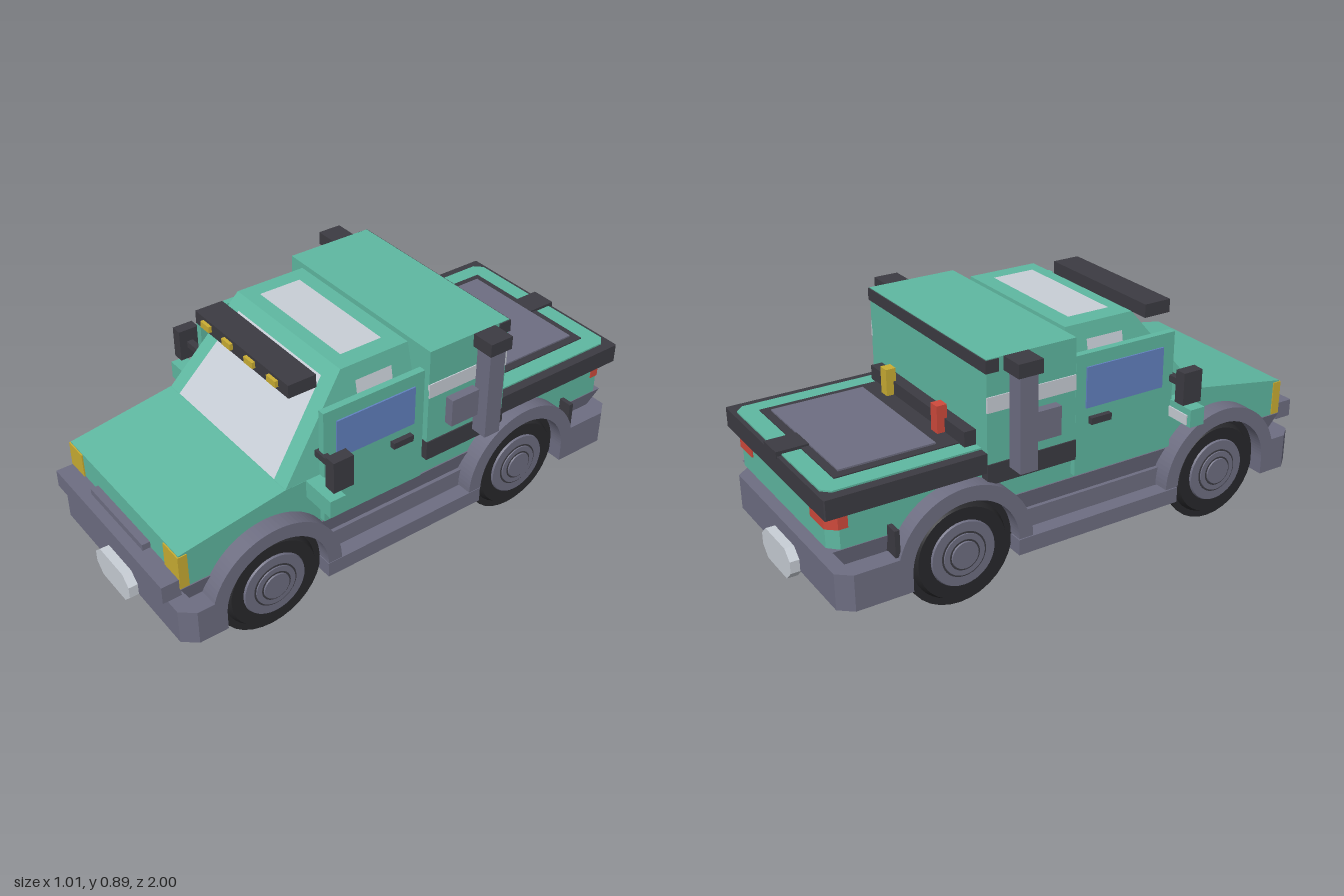
import * as THREE from 'three';
import { toCreasedNormals } from 'three/addons/utils/BufferGeometryUtils.js';

const mat = (name, color) => Object.assign(new THREE.MeshStandardMaterial({ color }), { name });

export function createModel() {
  const truck = new THREE.Group();
  truck.name = 'pickupTruck';
  const teal = mat('teal paint', 0x5fb8a1), slate = mat('slate plastic', 0x6e6e82);
  const dark = mat('dark trim', 0x3c3b42), rubber = mat('black rubber', 0x28282b);
  const pale = mat('pale glass', 0xc8ced6), yellow = mat('yellow lamp', 0xcaad33);
  const red = mat('red lamp', 0xcf4a3c), blue = mat('blue window', 0x6282c0);

  const add = (name, geometry, material) => {
    const mesh = new THREE.Mesh(geometry, material);
    mesh.name = name;
    truck.add(mesh);
    return mesh;
  };
  // box given by its limits on each axis
  const box = (name, m, x0, x1, y0, y1, z0, z1) => add(name,
    new THREE.BoxGeometry(Math.abs(x1 - x0), y1 - y0, Math.abs(z1 - z0))
      .translate((x0 + x1) / 2, (y0 + y1) / 2, (z0 + z1) / 2), m);
  const toShape = (pts) => new THREE.Shape(pts.map(([a, b]) => new THREE.Vector2(a, b)));
  const extrude = (shape, depth) => new THREE.ExtrudeGeometry(shape, { depth, bevelEnabled: false, curveSegments: 24 });
  // plan outline (x, z) raised from y0 to y1
  const slab = (name, m, pts, y0, y1) => add(name,
    extrude(toShape(pts.map(([x, z]) => [x, -z])), y1 - y0).rotateX(-Math.PI / 2).translate(0, y0, 0), m);
  // side outline (z, y) swept from x0 to x1
  const sweep = (name, m, shape, x0, x1) => add(name,
    extrude(shape, x1 - x0).rotateY(-Math.PI / 2).translate(x1, 0, 0), m);
  // tapered box: each end is [y, half width, back z, front z]
  const taper = (name, m, low, high) => {
    const g = new THREE.BoxGeometry(2, 2, 2), p = g.attributes.position;
    for (let i = 0; i < p.count; i++) {
      const [y, w, back, front] = p.getY(i) > 0 ? high : low;
      p.setXYZ(i, p.getX(i) * w, y, p.getZ(i) > 0 ? front : back);
    }
    g.computeVertexNormals();
    return add(name, g, m);
  };
  // flat four-cornered panel, corners counter-clockwise
  const panel = (name, m, c) => {
    const g = new THREE.BufferGeometry();
    g.setAttribute('position', new THREE.Float32BufferAttribute([0, 1, 2, 0, 2, 3].flatMap((i) => c[i]), 3));
    g.computeVertexNormals();
    return add(name, g, m);
  };

  // chassis, sills and bumpers
  box('underbody', slate, -0.375, 0.375, 0.14, 0.27, -0.82, 0.82);
  taper('lowerBodyBelt', slate, [0.2, 0.345, -0.86, 0.86], [0.34, 0.375, -0.955, 0.935]);
  box('sill', slate, -0.435, 0.435, 0.14, 0.2, -0.295, 0.395);
  for (const [name, z, d] of [['frontBumper', 0.805, 1], ['rearBumper', -0.705, -1]]) {
    const end = d * 0.965;
    slab(name, slate, [[-0.437, z], [-0.437, end - d * 0.05], [-0.395, end],
      [0.395, end], [0.437, end - d * 0.05], [0.437, z]], 0.14, 0.275);
    const plate = toShape([[-0.08, 0.102], [0.08, 0.102], [0.118, 0.14], [0.118, 0.185],
      [0.08, 0.22], [-0.08, 0.22], [-0.118, 0.185], [-0.118, 0.14]]);
    add(name + 'Plate', extrude(plate, 0.04).translate(0, 0, d > 0 ? 0.96 : -1), pale);
  }
  box('frontBar', slate, -0.37, 0.37, 0.312, 0.38, 0.93, 1);
  box('frontBarBump', slate, -0.18, 0.18, 0.38, 0.404, 0.93, 0.96);

  // wheels and arches
  const tyre = toCreasedNormals(new THREE.LatheGeometry([[0, -0.117], [0.17, -0.117], [0.2, -0.055],
    [0.2, 0.055], [0.17, 0.117], [0, 0.117]].map(([r, h]) => new THREE.Vector2(r, h)), 40), 0.5);
  for (const z of [0.6, -0.5]) {
    const arch = new THREE.Shape();
    arch.moveTo(z + 0.26, 0.205);
    arch.absarc(z, 0.205, 0.26, 0, Math.PI, false);
    arch.lineTo(z - 0.205, 0.205);
    arch.absarc(z, 0.205, 0.205, Math.PI, 0, true);
    for (const s of [1, -1]) {
      const wheel = new THREE.Group();
      wheel.name = 'wheel';
      wheel.position.set(s * 0.288, 0.203, z);
      wheel.rotation.z = -s * Math.PI / 2;
      const part = (name, g, m, y) => {
        const mesh = add(name, g, m);
        mesh.position.y = y;
        wheel.add(mesh);
      };
      part('tyre', tyre, rubber, 0);
      part('rim', new THREE.CylinderGeometry(0.12, 0.125, 0.01, 32), slate, 0.119);
      part('rimGroove', new THREE.CylinderGeometry(0.085, 0.085, 0.004, 32), dark, 0.124);
      part('rimRing', new THREE.CylinderGeometry(0.078, 0.08, 0.008, 32), slate, 0.126);
      part('hubGroove', new THREE.CylinderGeometry(0.058, 0.058, 0.004, 24), dark, 0.129);
      part('hubCap', new THREE.CylinderGeometry(0.05, 0.054, 0.01, 24), slate, 0.131);
      truck.add(wheel);
      const x = s > 0 ? [0.345, 0.437] : [-0.437, -0.345];
      sweep('wheelArch', slate, arch, ...x);
      add('wheelWell', new THREE.CylinderGeometry(0.21, 0.21, 0.01, 32)
        .rotateZ(Math.PI / 2).translate(s * 0.375, 0.205, z), rubber);
    }
  }

  // hood, cab and cargo box
  sweep('lowerBody', teal, toShape([[0.93, 0.34], [0.93, 0.478], [0.52, 0.545],
    [-0.4, 0.545], [-0.4, 0.34]]), -0.37, 0.37);
  taper('cab', teal, [0.54, 0.37, -0.05, 0.522], [0.88, 0.308, -0.03, 0.25]);
  box('cargoBox', teal, -0.405, 0.405, 0.5, 0.88, -0.4, -0.05);
  box('cargoBoxBase', dark, -0.41, 0.41, 0.43, 0.505, -0.402, -0.048);
  box('cargoBoxRearBar', dark, -0.41, 0.41, 0.832, 0.877, -0.405, -0.355);
  const glassZ = (y) => 0.524 - (y - 0.545) * 0.806;
  panel('windshield', pale, [[-0.305, 0.55, glassZ(0.55)], [0.305, 0.55, glassZ(0.55)],
    [0.25, 0.84, glassZ(0.84)], [-0.25, 0.84, glassZ(0.84)]]);
  panel('skylight', pale, [[-0.24, 0.883, 0.2], [0.24, 0.883, 0.2], [0.24, 0.883, 0.03], [-0.24, 0.883, 0.03]]);

  // light bar
  box('lightBar', dark, -0.285, 0.285, 0.83, 0.88, 0.33, 0.44);
  for (const x of [-0.205, -0.07, 0.067, 0.202])
    box('roofLamp', yellow, x - 0.026, x + 0.026, 0.845, 0.869, 0.43, 0.453);

  // mirrored side parts
  for (const s of [1, -1]) {
    const side = (name, m, x0, x1, ...rest) => box(name, m, s * x0, s * x1, ...rest);
    const wall = (y) => s * (0.374 - (y - 0.545) * 0.182);
    const quarter = [[0.2, 0.6], [0.05, 0.6], [0.05, 0.825], [0.2, 0.825]].map(([z, y]) => [wall(y), y, z]);
    panel('quarterWindow', pale, s > 0 ? quarter : quarter.reverse());
    side('headlight', yellow, 0.28, 0.374, 0.342, 0.474, 0.9, 0.935);
    side('door', teal, 0.365, 0.392, 0.355, 0.805, -0.04, 0.38);
    side('doorWindow', blue, 0.39, 0.398, 0.605, 0.757, 0.002, 0.33);
    side('doorHandle', dark, 0.39, 0.412, 0.545, 0.57, 0.015, 0.1);
    side('mirrorArm', dark, 0.355, 0.46, 0.618, 0.643, 0.365, 0.39);
    side('mirror', dark, 0.458, 0.503, 0.57, 0.692, 0.34, 0.42);
    side('sideStep', teal, 0.365, 0.507, 0.477, 0.545, 0.375, 0.437);
    side('sideStepLamp', pale, 0.39, 0.49, 0.482, 0.52, 0.37, 0.376);
    side('boxStripe', pale, 0.4, 0.409, 0.692, 0.748, -0.4, -0.05);
    side('airFilter', slate, 0.4, 0.44, 0.558, 0.666, -0.25, -0.13);
    side('exhaustStack', slate, 0.415, 0.482, 0.48, 0.835, -0.32, -0.252);
    side('exhaustCap', dark, 0.405, 0.495, 0.83, 0.88, -0.335, -0.24);
    side('mudFlap', dark, 0.36, 0.425, 0.28, 0.378, -0.76, -0.742);
    slab('tailLight', red, [[0.24, -0.965], [0.345, -0.965], [0.375, -0.93], [0.375, -0.895], [0.24, -0.895]]
      .map(([x, z]) => [s * x, z]), 0.413, 0.472);
  }

  // rear bed with rail and cover
  const bed = (w, back, front, c) => [[-w, front], [-w, back + c], [-w + c, back], [w - c, back], [w, back + c], [w, front]];
  slab('bed', teal, bed(0.372, -0.96, -0.39, 0.035), 0.34, 0.48);
  slab('bedRail', dark, bed(0.405, -0.985, -0.4, 0.004), 0.475, 0.547);
  slab('bedDeck', teal, bed(0.368, -0.968, -0.4, 0.03), 0.54, 0.553);
  box('coverFrame', dark, -0.3, 0.3, 0.545, 0.557, -0.9, -0.41);
  box('cover', slate, -0.268, 0.268, 0.55, 0.563, -0.87, -0.515);
  box('latch', dark, -0.05, 0.05, 0.54, 0.564, -0.988, -0.87);
  box('headboard', dark, -0.335, 0.335, 0.54, 0.608, -0.445, -0.4);
  box('redBeacon', red, -0.206, -0.164, 0.55, 0.658, -0.474, -0.435);
  box('yellowBeacon', yellow, 0.158, 0.2, 0.55, 0.658, -0.474, -0.435);

  return truck;
}
